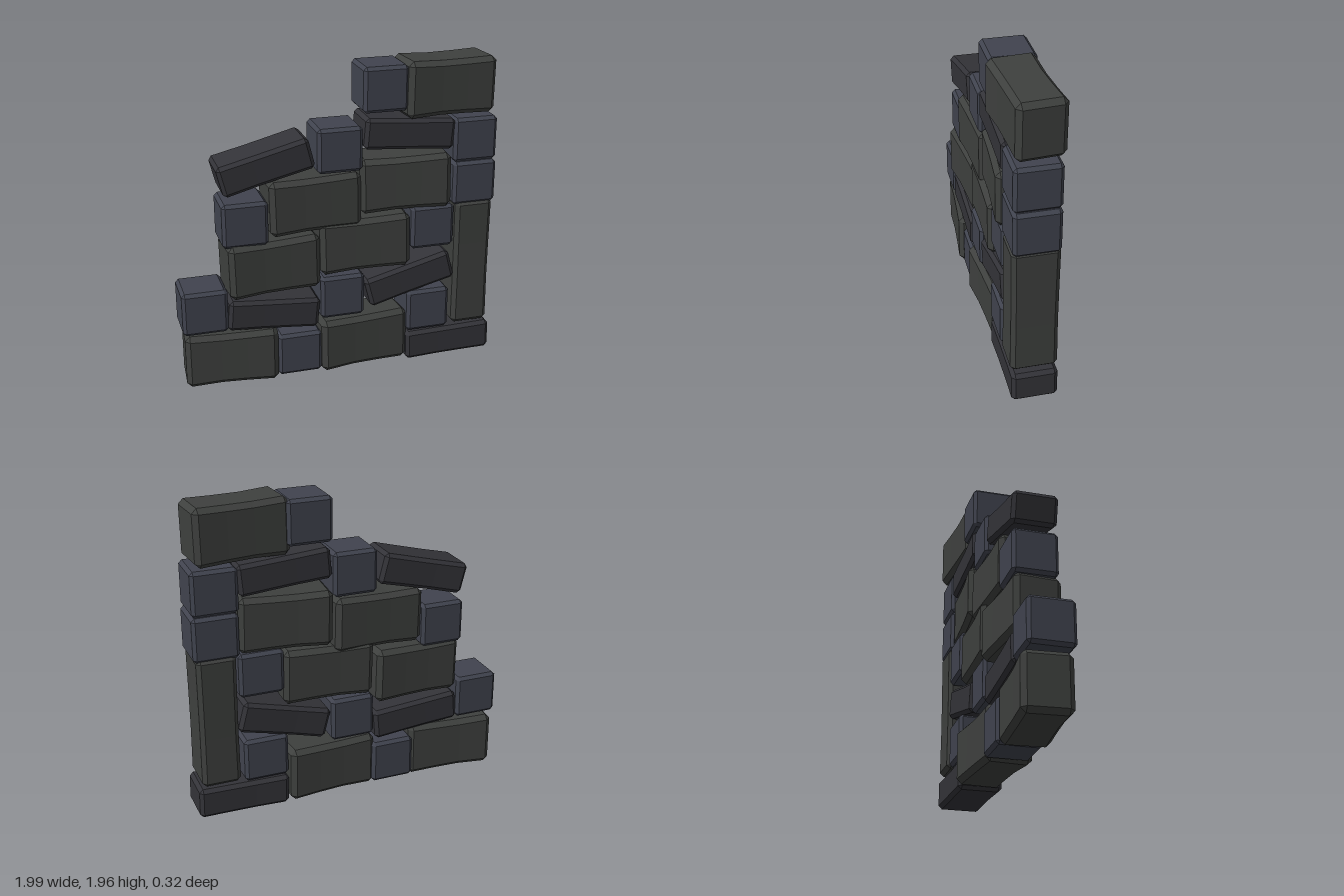
import * as THREE from 'three';

// Chamfered stone: octagonal cross-sections lofted along x, slightly pinched at the waist
function stoneGeometry(w, h, d, c, waist) {
  const stations = [
    [-w / 2, 1, true], [-w / 2 + c, 1, false], [-w * 0.12, waist, false],
    [w * 0.16, waist + (1 - waist) * 0.3, false], [w / 2 - c, 1, false], [w / 2, 1, true],
  ];
  const pos = [], index = [];
  for (const [x, s, end] of stations) {
    const y = (h / 2) * s, z = (d / 2) * s, yi = y - c, zi = z - c;
    const ring = [[yi, z], [y, zi], [y, -zi], [yi, -z], [-yi, -z], [-y, -zi], [-y, zi], [-yi, z]];
    for (const [py, pz] of ring) {
      pos.push(x, end ? Math.sign(py) * yi : py, end ? Math.sign(pz) * zi : pz);
    }
  }
  const last = (stations.length - 1) * 8;
  for (let i = 0; i < last; i += 8) {
    for (let j = 0; j < 8; j++) {
      const k = (j + 1) % 8, a = i + j, b = i + k;
      index.push(a, a + 8, b, b, a + 8, b + 8);
    }
  }
  // End caps
  for (let j = 1; j < 7; j++) {
    index.push(0, j, j + 1);
    index.push(last, last + j + 1, last + j);
  }
  const indexed = new THREE.BufferGeometry();
  indexed.setAttribute('position', new THREE.Float32BufferAttribute(pos, 3));
  indexed.setIndex(index);
  const g = indexed.toNonIndexed();
  g.computeVertexNormals();
  return g;
}

export function createModel() {
  const wall = new THREE.Group();
  wall.name = 'stoneWall';

  const kinds = {
    largeStone: { geo: stoneGeometry(0.57, 0.345, 0.285, 0.03, 0.96), color: 0x3e403e },
    pillarStone: { geo: stoneGeometry(0.835, 0.24, 0.28, 0.025, 0.98), color: 0x3e403e },
    cubeStone: { geo: stoneGeometry(0.278, 0.275, 0.275, 0.02, 1), color: 0x40434e },
    slimStone: { geo: stoneGeometry(0.568, 0.192, 0.275, 0.022, 0.98), color: 0x333338 },
  };
  for (const k of Object.values(kinds)) {
    k.mat = new THREE.MeshStandardMaterial({ color: k.color, flatShading: true });
  }

  // Each stone: x, y, roll about z, yaw about y
  const layout = {
    largeStone: [
      [-0.695, 0.187, 0, -0.075], [0.135, 0.19, 0.01, 0.075],
      [-0.432, 0.762, 0.02, 0.075], [0.147, 0.845, 0.02, -0.03],
      [-0.172, 1.137, 0.02, 0.04], [0.405, 1.213, 0.02, -0.075],
      [0.667, 1.79, -0.012, 0.075],
    ],
    pillarStone: [[0.845, 0.643, Math.PI / 2, 0]],
    cubeStone: [
      [-0.86, 0.517, 0, 0], [-0.278, 0.163, 0, 0], [-0.003, 0.517, 0, 0],
      [0.56, 0.35, 0, 0], [0.575, 0.915, 0, 0], [-0.6, 1.055, 0, 0],
      [0.84, 1.18, 0, 0], [0.835, 1.458, 0, 0], [-0.02, 1.463, 0, 0],
      [0.26, 1.81, 0, 0],
    ],
    slimStone: [
      [0.705, 0.108, 0.02, 0], [-0.436, 0.45, -0.085, 0], [0.435, 0.577, 0.255, 0],
      [-0.467, 1.396, 0.25, 0], [0.415, 1.525, -0.08, 0],
    ],
  };

  for (const [kind, stones] of Object.entries(layout)) {
    const { geo, mat } = kinds[kind];
    stones.forEach(([x, y, roll, yaw], i) => {
      const stone = new THREE.Mesh(geo, mat);
      stone.name = kind + (i + 1);
      stone.position.set(x, y, -0.003);
      stone.rotation.set(0, yaw, roll);
      wall.add(stone);
    });
  }

  // Rest the lowest stone on the ground
  const box = new THREE.Box3().setFromObject(wall, true);
  for (const stone of wall.children) stone.position.y -= box.min.y;
  return wall;
}
